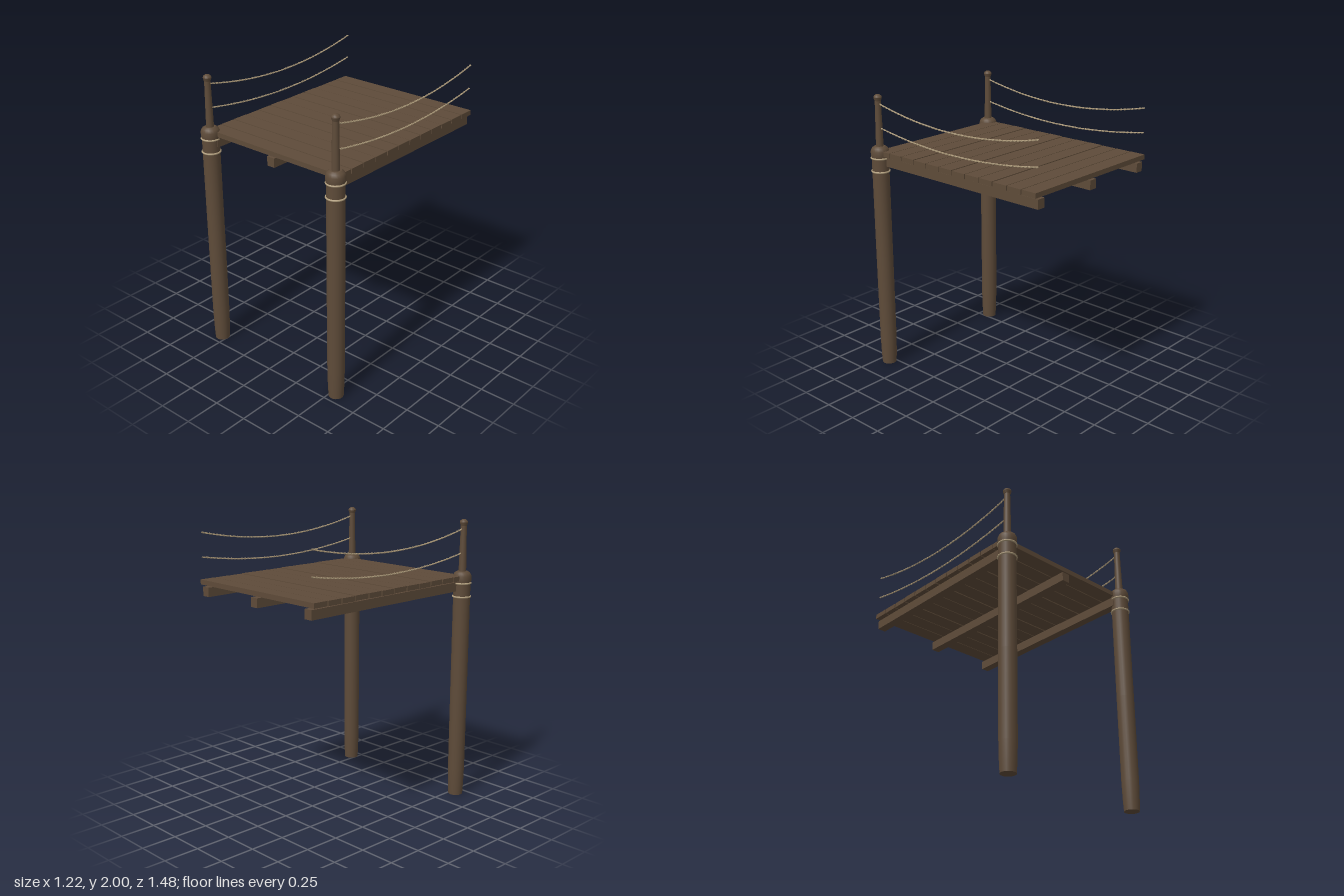
import * as THREE from 'three';

export function createModel() {
  const wood = new THREE.MeshStandardMaterial({ color: 0x5e4b39 });
  wood.name = 'weathered wood';
  const hemp = new THREE.MeshStandardMaterial({ color: 0xb09d7c });
  hemp.name = 'hemp rope';

  const model = new THREE.Group();
  model.name = 'dockSection';
  const add = (parent, name, geometry, material, x = 0, y = 0, z = 0) => {
    const mesh = new THREE.Mesh(geometry, material);
    mesh.name = name;
    mesh.position.set(x, y, z);
    parent.add(mesh);
    return mesh;
  };
  const lathe = (points, sides) =>
    new THREE.LatheGeometry(points.map(([r, y]) => new THREE.Vector2(r, y)), sides);

  const SIDE = 0.542, POST_Z = 0.674;

  // Deck planks with small alternating height differences
  const COUNT = 12, PITCH = 0.118, BACK = -0.74;
  for (let i = 0; i < COUNT; i++) {
    const lift = [0.001, 0, -0.001][i % 3];
    add(model, 'plank' + (i + 1), new THREE.BoxGeometry(1.13, 0.034, 0.111), wood,
      0, 1.597 + lift, BACK + 0.0555 + i * PITCH);
  }

  // Beams running under the deck
  for (const [name, x] of [['rightBeam', -0.51], ['middleBeam', 0], ['leftBeam', 0.51]]) {
    add(model, name, new THREE.BoxGeometry(0.06, 0.064, 1.41), wood, x, 1.537, -0.035);
  }

  // Round piles: tapered foot, straight shaft and a rounded shoulder
  const pileShape = lathe([
    [0, 0], [0.051, 0], [0.051, 0], [0.055, 0.08], [0.058, 0.2], [0.059, 0.8],
    [0.059, 1.56], [0.064, 1.575], [0.064, 1.61], [0.055, 1.63], [0.037, 1.642],
    [0.037, 1.642], [0, 1.642],
  ], 20);
  const postShape = lathe([[0.027, 1.63], [0.021, 1.96]], 12);
  const capShape = lathe([
    [0, 1.955], [0.022, 1.955], [0.022, 1.955], [0.029, 1.978], [0.029, 1.978],
    [0.026, 1.988], [0.013, 1.998], [0, 2],
  ], 12);
  const lashShape = new THREE.TorusGeometry(0.0605, 0.0065, 8, 24).rotateX(Math.PI / 2);

  // A hanging rope of two twisted strands
  class Strand extends THREE.Curve {
    constructor(high, low, phase) {
      super();
      Object.assign(this, { high, low, phase });
    }
    getPoint(t, target = new THREE.Vector3()) {
      const u = 2 * t - 1;
      const a = this.phase + t * Math.PI * 2 * 24;
      return target.set(
        0.0028 * Math.cos(a),
        this.low + (this.high - this.low) * u * u + 0.0028 * Math.sin(a),
        0.668 - t * 1.408,
      );
    }
  }

  for (const [name, s] of [['left', 1], ['right', -1]]) {
    const side = new THREE.Group();
    side.name = name + 'Side';
    side.position.x = s * SIDE;
    model.add(side);

    add(side, 'pile', pileShape, wood, 0, 0, POST_Z);
    add(side, 'railPost', postShape, wood, 0, 0, POST_Z);
    add(side, 'postCap', capShape, wood, 0, 0, POST_Z);
    for (const y of [1.465, 1.56]) add(side, 'ropeLashing', lashShape, hemp, 0, y, POST_Z);

    for (const [rope, high, low] of [['upperRope', 1.936, 1.851], ['lowerRope', 1.77, 1.705]]) {
      for (const phase of [0, Math.PI]) {
        add(side, rope, new THREE.TubeGeometry(new Strand(high, low, phase), 240, 0.0034, 5), hemp);
      }
    }
  }
  return model;
}
